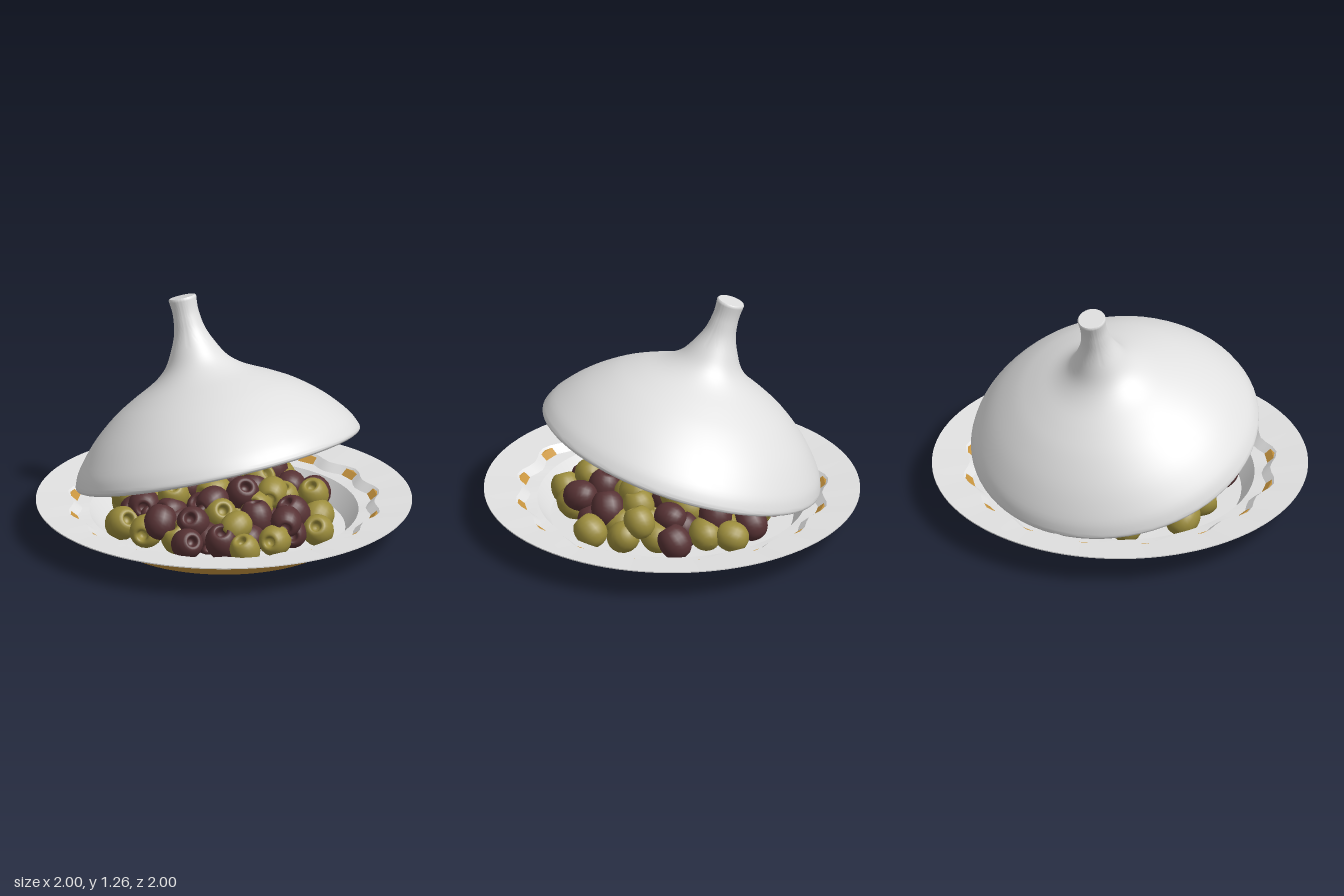
import * as THREE from 'three';
import { toCreasedNormals } from 'three/addons/utils/BufferGeometryUtils.js';

const mat = (name, color, side = THREE.FrontSide) => {
  const m = new THREE.MeshStandardMaterial({ color, side });
  m.name = name;
  return m;
};
const points = (list) => list.map(([r, y]) => new THREE.Vector2(r, y));
const smooth = (list, n) => new THREE.SplineCurve(points(list)).getPoints(n)
  .map((p) => new THREE.Vector2(Math.max(p.x, 0), p.y));

export function createModel() {
  const group = new THREE.Group();
  const white = mat('white glaze', 0xe0e0e0, THREE.DoubleSide);
  const brown = mat('brown clay', 0xc8953f, THREE.DoubleSide);
  const green = mat('olive green', 0x9c8d3c);
  const maroon = mat('dark maroon', 0x573234);

  const add = (name, geometry, material, parent = group) => {
    const mesh = new THREE.Mesh(geometry, material);
    mesh.name = name;
    parent.add(mesh);
    return mesh;
  };

  // Seeded random numbers
  let seed = 11;
  const rand = () => {
    seed = (seed * 16807) % 2147483647;
    return seed / 2147483647;
  };

  // Clay outside of the dish, from the foot out to the rim
  const clay = new THREE.LatheGeometry(points([
    [0, 0], [0.635, 0], [0.655, 0.012], [0.725, 0.115], [0.775, 0.12], [0.82, 0.158], [1, 0.175],
  ]), 96);
  add('dishOutside', toCreasedNormals(clay, 0.45), brown);

  // Glazed inside of the dish; its wavy shoulder lets the clay break through
  const glaze = new THREE.LatheGeometry(points([
    [1, 0.175], [1, 0.181], [0.82, 0.168], [0.775, 0.13], [0.715, 0.125], [0.645, 0.022], [0, 0.012],
  ]), 96);
  const pos = glaze.attributes.position;
  for (let i = 0; i < pos.count; i++) {
    const x = pos.getX(i), z = pos.getZ(i), r = Math.hypot(x, z);
    if (r > 0.76 && r < 0.83) {
      const k = 1 + 0.022 * Math.cos(16 * Math.atan2(z, x)) / r;
      pos.setX(i, x * k);
      pos.setZ(i, z * k);
    }
  }
  glaze.computeVertexNormals();
  add('dishGlaze', toCreasedNormals(glaze, 0.45), white);

  // Conical lid with a chimney handle, tilted open
  const inner = smooth([
    [0, 0.5], [0.15, 0.49], [0.27, 0.43], [0.48, 0.31], [0.61, 0.2], [0.71, 0.09], [0.745, 0.01],
  ], 24);
  const outer = smooth([
    [0.757, 0], [0.772, 0.012], [0.768, 0.04], [0.732, 0.11], [0.63, 0.23], [0.5, 0.338],
    [0.38, 0.41], [0.25, 0.478], [0.17, 0.545], [0.118, 0.635], [0.085, 0.715],
    [0.072, 0.79], [0.07, 0.84], [0.075, 0.895],
  ], 52);
  const lidShape = [...inner, ...outer, ...points([[0.07, 0.902], [0, 0.902]])];
  const lid = add('lid', toCreasedNormals(new THREE.LatheGeometry(lidShape, 72), 0.8), white);
  lid.position.set(-0.035, 0.385, -0.03);
  lid.quaternion.setFromUnitVectors(
    new THREE.Vector3(0, 1, 0), new THREE.Vector3(-0.255, 0.95, -0.185).normalize());

  // Pitted olive with a hole in one end
  const olive = new THREE.LatheGeometry(smooth([
    [0, -1.1], [0.5, -0.98], [0.88, -0.55], [1, 0], [0.9, 0.55], [0.64, 0.92],
    [0.44, 0.99], [0.32, 0.9], [0.24, 0.55], [0, 0.48],
  ], 20), 18);

  // Heap of olives in three spiral layers
  const heap = new THREE.Group();
  heap.name = 'olives';
  group.add(heap);
  const layers = [
    { count: 46, radius: 0.58, y: 0.115 },
    { count: 28, radius: 0.52, y: 0.195 },
    { count: 9, radius: 0.3, y: 0.25 },
  ];
  layers.forEach(({ count, radius, y }, layer) => {
    for (let i = 0; i < count; i++) {
      const r = radius * Math.sqrt((i + 0.5) / count);
      const a = i * 2.39996 + layer * 1.1;
      const isGreen = rand() < 0.55;
      const mesh = add(isGreen ? 'greenOlive' : 'darkOlive', olive, isGreen ? green : maroon, heap);
      mesh.position.set(r * Math.cos(a), y + (rand() - 0.5) * 0.03, r * Math.sin(a));
      mesh.rotation.set(rand() * 1.8, rand() * 6.28, (rand() - 0.5) * 1.8);
      mesh.scale.setScalar(0.079 + rand() * 0.012);
    }
  });

  return group;
}
